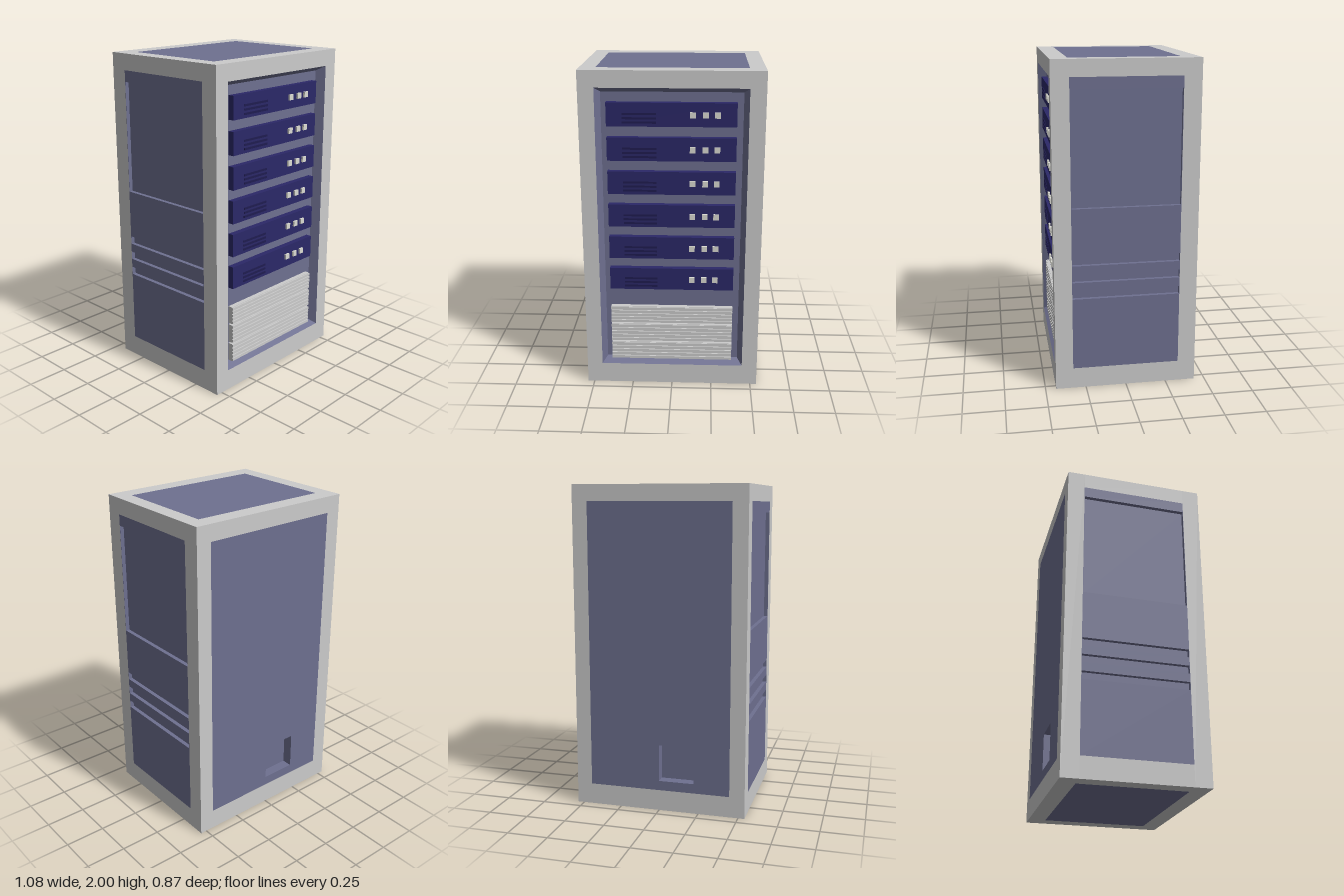
import * as THREE from 'three';

const paint = (color) => new THREE.MeshStandardMaterial({ color });
const grey = paint(0xcccccc);
const slate = paint(0x6e7090);
const navy = paint(0x2b2868);
const dark = paint(0x1f1c50);
const pale = paint(0xdcdcd4);

const W = 0.54, H = 2, D = 0.435;          // half width, height, half depth
const IX = 0.445, IZ = 0.328, Y0 = 0.13, Y1 = 1.9; // panel openings

function box(parent, name, mat, x0, x1, y0, y1, z0, z1) {
  const mesh = new THREE.Mesh(new THREE.BoxGeometry(x1 - x0, y1 - y0, z1 - z0), mat);
  mesh.position.set((x0 + x1) / 2, (y0 + y1) / 2, (z0 + z1) / 2);
  mesh.name = name;
  parent.add(mesh);
  return mesh;
}

const corners = ([x0, x1, y0, y1], z, i = 0) => [
  [x0 + i, y0 + i, z], [x1 - i, y0 + i, z], [x1 - i, y1 - i, z], [x0 + i, y1 - i, z]];

// Open tray sunk behind z = 0, its walls drawn in by inset, facing +z
function trayGeometry(rect, depth, inset) {
  const f = corners(rect, 0), b = corners(rect, -depth, inset), pos = [];
  const quad = (p, q, r, s) => pos.push(...p, ...q, ...r, ...p, ...r, ...s);
  for (let i = 0; i < 4; i++) {
    const j = (i + 1) % 4;
    quad(f[i], f[j], b[j], b[i]);
  }
  quad(...b);
  const geo = new THREE.BufferGeometry();
  geo.setAttribute('position', new THREE.Float32BufferAttribute(pos, 3));
  geo.computeVertexNormals();
  return geo;
}

// Flat panel in the xy plane facing +z, with sunken rectangles
function panel(name, rect, recesses = []) {
  const group = new THREE.Group();
  group.name = name;
  const points = (r) => corners(r, 0).map(([x, y]) => new THREE.Vector2(x, y));
  const shape = new THREE.Shape(points(rect));
  for (const { r, depth } of recesses) {
    shape.holes.push(new THREE.Path(points(r)));
    const tray = new THREE.Mesh(trayGeometry(r, depth, 0), slate);
    tray.name = 'recess';
    group.add(tray);
  }
  const sheet = new THREE.Mesh(new THREE.ShapeGeometry(shape), slate);
  sheet.name = 'sheet';
  group.add(sheet);
  return group;
}

export function createModel() {
  const model = new THREE.Group();
  model.name = 'serverRack';

  // Frame: four posts and eight rails
  const frame = new THREE.Group();
  frame.name = 'frame';
  model.add(frame);
  for (const sx of [-1, 1]) {
    const xs = sx > 0 ? [IX, W] : [-W, -IX];
    for (const sz of [-1, 1]) {
      const zs = sz > 0 ? [IZ, D] : [-D, -IZ];
      box(frame, 'post', grey, ...xs, 0, H, ...zs);
    }
    box(frame, 'bottomSideRail', grey, ...xs, 0, Y0, -IZ, IZ);
    box(frame, 'topSideRail', grey, ...xs, Y1, H, -IZ, IZ);
  }
  for (const zs of [[IZ, D], [-D, -IZ]]) {
    box(frame, 'bottomRail', grey, -IX, IX, 0, Y0, ...zs);
    box(frame, 'topRail', grey, -IX, IX, Y1, H, ...zs);
  }

  // Side panels with a sunken field and three grooves
  const e = IZ - 0.002;
  const sideRecesses = [[1.14, 1.83], [0.79, 0.84], [0.685, 0.735], [0.58, 0.63]]
    .map(([a, b]) => ({ r: [-e, e, a, b], depth: 0.025 }));
  for (const s of [-1, 1]) {
    const side = panel(s > 0 ? 'leftPanel' : 'rightPanel', [-IZ, IZ, Y0, Y1], sideRecesses);
    side.rotation.y = s * Math.PI / 2;
    side.position.x = s * W;
    model.add(side);
  }

  // Back panel with a socket recess
  const back = panel('backPanel', [-IX, IX, Y0, Y1], [{ r: [0, 0.222, 0.19, 0.42], depth: 0.065 }]);
  back.rotation.y = Math.PI;
  back.position.z = -D;
  model.add(back);

  // Top and bottom panels
  for (const s of [-1, 1]) {
    const lid = panel(s > 0 ? 'topPanel' : 'bottomPanel', [-IX, IX, -IZ, IZ]);
    lid.rotation.x = -s * Math.PI / 2;
    lid.position.y = s > 0 ? H : 0;
    model.add(lid);
  }

  // Tapered front bay
  const bay = new THREE.Mesh(trayGeometry([-IX, IX, Y0, Y1], 0.055, 0.03), slate);
  bay.name = 'frontBay';
  bay.position.z = D;
  model.add(bay);

  // Server units with vent bars and three buttons
  const zBack = D - 0.055, zFace = D - 0.018;
  for (let i = 0; i < 6; i++) {
    const unit = new THREE.Group();
    unit.name = 'serverUnit';
    unit.position.y = 1.743 - i * 0.2055;
    box(unit, 'case', navy, -0.382, 0.377, -0.07, 0.07, zBack, zFace);
    for (const y of [-0.045, -0.02, 0.005])
      box(unit, 'ventBar', dark, -0.29, -0.09, y - 0.006, y + 0.006, zFace, zFace + 0.005);
    for (const x of [0.122, 0.197, 0.265])
      box(unit, 'button', pale, x - 0.017, x + 0.017, -0.017, 0.017, zFace, zFace + 0.012);
    model.add(unit);
  }

  // Ribbed storage units
  for (const [y0, y1] of [[0.412, 0.522], [0.285, 0.402], [0.158, 0.275]]) {
    const unit = new THREE.Group();
    unit.name = 'storageUnit';
    box(unit, 'case', grey, -0.382, 0.377, y0, y1, zBack, zFace - 0.008);
    const ribs = 5, pitch = (y1 - y0) / ribs;
    for (let i = 0; i < ribs; i++) {
      const y = y0 + i * pitch;
      box(unit, 'rib', grey, -0.382, 0.377, y + 0.003, y + pitch - 0.003, zFace - 0.008, zFace);
    }
    model.add(unit);
  }
  return model;
}
